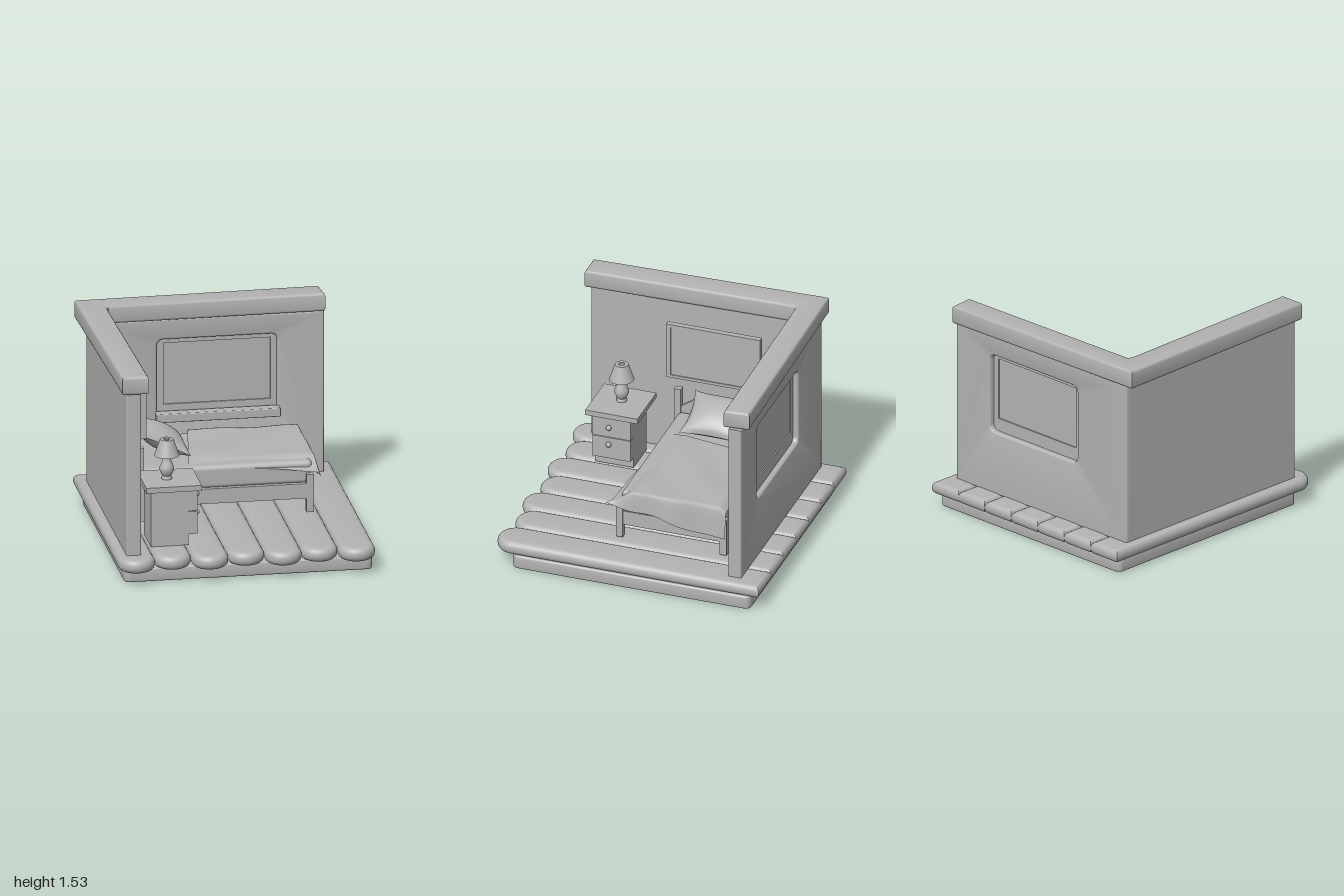
import * as THREE from 'three';
import { toCreasedNormals } from 'three/addons/utils/BufferGeometryUtils.js';
import { RoundedBoxGeometry } from 'three/addons/geometries/RoundedBoxGeometry.js';

export function createModel() {
  const model = new THREE.Group();
  model.name = 'bedroomCorner';
  const clay = new THREE.MeshStandardMaterial({ color: 0xb3b3b3, side: THREE.DoubleSide });
  clay.name = 'clayGrey';

  const group = (name) => {
    const g = new THREE.Group();
    g.name = name;
    model.add(g);
    return g;
  };
  const add = (parent, name, geometry) => {
    const mesh = new THREE.Mesh(geometry, clay);
    mesh.name = name;
    parent.add(mesh);
    return mesh;
  };
  // Box from its limits, with optional rounded edges
  const box = (parent, name, x0, x1, y0, y1, z0, z1, r = 0) => {
    const s = [x1 - x0, y1 - y0, z1 - z0];
    const geo = r ? new RoundedBoxGeometry(...s, 3, r) : new THREE.BoxGeometry(...s);
    const mesh = add(parent, name, geo);
    mesh.position.set((x0 + x1) / 2, (y0 + y1) / 2, (z0 + z1) / 2);
    return mesh;
  };
  // Bevelled extrusion that keeps the outline and the full depth
  const extrude = (shape, depth, bevel, segments = 3) => toCreasedNormals(
    new THREE.ExtrudeGeometry(shape, {
      depth: depth - 2 * bevel, bevelThickness: bevel, bevelSize: bevel,
      bevelOffset: -bevel, bevelSegments: segments, curveSegments: 16,
    }).translate(0, 0, bevel), 0.7);
  // Plan outline (x, z) extruded from y0 to y1
  const slab = (parent, name, shape, y0, y1, bevel, segments) => {
    const geo = extrude(shape, y1 - y0, bevel, segments).rotateX(Math.PI / 2).translate(0, y1, 0);
    return add(parent, name, geo);
  };
  const roundRect = (path, x0, x1, y0, y1, r) => {
    path.moveTo(x0 + r, y0).lineTo(x1 - r, y0).absarc(x1 - r, y0 + r, r, -Math.PI / 2, 0)
      .lineTo(x1, y1 - r).absarc(x1 - r, y1 - r, r, 0, Math.PI / 2)
      .lineTo(x0 + r, y1).absarc(x0 + r, y1 - r, r, Math.PI / 2, Math.PI)
      .lineTo(x0, y0 + r).absarc(x0 + r, y0 + r, r, Math.PI, Math.PI * 1.5);
    return path;
  };
  const polygon = (points) => new THREE.Shape(points.map((p) => new THREE.Vector2(...p)));
  // Smooth cloth surface: rule(u, v) gives a point, u along x and v along z
  const sheet = (nu, nv, rule) => {
    const geo = new THREE.PlaneGeometry(1, 1, nu, nv);
    const { position, uv } = geo.attributes;
    for (let i = 0; i < position.count; i++) {
      position.setXYZ(i, ...rule(uv.getX(i), 1 - uv.getY(i)));
    }
    geo.computeVertexNormals();
    return geo;
  };
  const { lerp, smoothstep } = THREE.MathUtils;

  // Floor: base slab and seven rounded planks with alternating lengths
  const floor = group('floor');
  slab(floor, 'baseSlab', roundRect(new THREE.Shape(), -0.865, 0.91, -0.93, 0.85, 0.045), 0, 0.1, 0.012);
  const w = 0.262;
  for (let i = 0; i < 7; i++) {
    const x = -0.915 + w * i;
    const end = i % 2 ? 0.95 : 0.99;
    const plank = new THREE.Shape();
    plank.moveTo(x, -1).lineTo(x + w, -1).lineTo(x + w, end - 0.13)
      .absellipse(x + w / 2, end - 0.13, w / 2, 0.13, 0, Math.PI).lineTo(x, -1);
    slab(floor, 'plank', plank, 0.1, 0.2, 0.044, 5);
  }

  // Walls, with the window opening in the back one
  const walls = group('walls');
  box(walls, 'leftWall', -0.85, -0.745, 0.19, 1.41, -0.8, 0.85, 0.012);
  const backShape = polygon([[-0.85, 0.19], [0.835, 0.19], [0.835, 1.395], [-0.85, 1.395]]);
  backShape.holes.push(roundRect(new THREE.Path(), -0.36, 0.5, 0.66, 1.245, 0.045));
  add(walls, 'backWall', extrude(backShape, 0.1, 0.014)).position.z = -0.84;
  const trim = polygon([[-0.93, -0.865], [0.82, -0.895], [0.837, -0.71], [-0.715, -0.69],
    [-0.73, -0.67], [-0.697, 0.88], [-0.885, 0.88]]);
  slab(walls, 'topTrim', trim, 1.4, 1.535, 0.02);

  // Window
  const windowGroup = group('window');
  const frame = polygon([[-0.36, 0.66], [0.5, 0.66], [0.5, 1.245], [-0.36, 1.245]]);
  frame.holes.push(polygon([[-0.31, 0.755], [0.455, 0.755], [0.455, 1.21], [-0.31, 1.21]]));
  add(windowGroup, 'windowFrame', new THREE.ExtrudeGeometry(frame, { depth: 0.03, bevelEnabled: false }))
    .position.z = -0.8;
  box(windowGroup, 'windowPane', -0.32, 0.465, 0.745, 1.22, -0.79, -0.78);
  box(windowGroup, 'windowSill', -0.37, 0.515, 0.645, 0.71, -0.76, -0.68, 0.008);

  // Picture: frame border around a recessed panel
  const picture = group('picture');
  box(picture, 'picturePanel', -0.64, -0.61, 0.86, 1.265, -0.455, 0.225);
  for (const [y0, y1] of [[0.85, 0.872], [1.255, 1.278]]) {
    box(picture, 'pictureFrame', -0.645, -0.603, y0, y1, -0.465, 0.237);
  }
  for (const [z0, z1] of [[-0.465, -0.435], [0.203, 0.237]]) {
    box(picture, 'pictureFrame', -0.645, -0.603, 0.872, 1.255, z0, z1);
  }

  // Bed frame and mattress
  const bed = group('bed');
  for (const [z0, z1] of [[-0.645, -0.595], [0.13, 0.18]]) {
    box(bed, 'headPost', -0.655, -0.61, 0.22, 0.76, z0, z1);
    box(bed, 'footLeg', 0.55, 0.602, 0.22, 0.5, z0, z1);
    box(bed, 'sideRail', -0.62, 0.56, 0.32, 0.43, z0 + 0.005, z1 - 0.01);
  }
  box(bed, 'footRail', 0.555, 0.595, 0.32, 0.43, -0.6, 0.135);
  box(bed, 'bedBase', -0.62, 0.56, 0.33, 0.42, -0.61, 0.14);
  const board = polygon([[-0.6, 0.33], [0.135, 0.33], [0.135, 0.62], [0.02, 0.7], [-0.465, 0.7], [-0.6, 0.62]]);
  const headboard = add(bed, 'headboard', new THREE.ExtrudeGeometry(board, { depth: 0.025, bevelEnabled: false }));
  headboard.rotation.y = -Math.PI / 2;
  headboard.position.x = -0.62;
  box(bed, 'mattress', -0.615, 0.6, 0.42, 0.59, -0.62, 0.145, 0.035);

  // Blanket: lies on the mattress, hangs over the foot and the open side
  add(bed, 'blanket', sheet(48, 40, (u, v) => {
    const along = Math.min(u / 0.8, 1);
    const hang = Math.max(u - 0.8, 0) / 0.2;
    const side = smoothstep(v, 0.8, 1);
    const back = 1 - smoothstep(v, 0, 0.06);
    const frontZ = lerp(0.1, 0.2, along) + 0.04 * hang;
    const fold = 0.008 * Math.sin(7 * along + 9 * v) * Math.sin(Math.PI * along);
    const hem = lerp(0.375, 0.49, smoothstep(v, 0, 1)) + 0.012 * Math.sin(14 * v);
    const top = 0.612 + fold - side * lerp(0.02, 0.09, along) - 0.03 * back;
    const drop = hang * hang * (2 - hang);
    return [
      lerp(lerp(-0.16, -0.28, v), 0.61, along) + 0.035 * Math.sqrt(hang) + 0.008 * hang * Math.sin(16 * v),
      lerp(top, Math.min(hem, top), drop),
      lerp(-0.65, frontZ, v),
    ];
  }));

  // Pillow: two puffed faces with pinched corners, leaning on the headboard
  const pillow = group('pillow');
  for (const side of [1, -1]) {
    add(pillow, 'pillowFace', sheet(24, 24, (u, v) => {
      const a = (2 * u - 1) * side;
      const b = 2 * v - 1;
      const puff = Math.pow((1 - a * a) * (1 - b * b), 0.55);
      return [
        0.19 * a * (1 - 0.1 * (1 - b * b)),
        side * 0.085 * puff,
        0.23 * b * (1 - 0.12 * (1 - a * a)),
      ];
    }));
  }
  pillow.position.set(-0.42, 0.71, -0.215);
  pillow.rotation.z = -0.44;

  // Nightstand with two drawers
  const nightstand = group('nightstand');
  box(nightstand, 'nightstandTop', -0.69, -0.293, 0.612, 0.652, 0.34, 0.73);
  box(nightstand, 'nightstandBody', -0.65, -0.38, 0.2, 0.615, 0.4, 0.685);
  for (const [y0, y1, knobY] of [[0.28, 0.447, 0.4], [0.452, 0.612, 0.535]]) {
    box(nightstand, 'drawer', -0.385, -0.317, y0, y1, 0.4, 0.685);
    add(nightstand, 'knob', new THREE.SphereGeometry(0.02, 16, 12)).position.set(-0.3, knobY, 0.558);
  }

  // Lamp
  const lamp = group('lamp');
  const lathe = (name, points) => add(lamp, name, toCreasedNormals(
    new THREE.LatheGeometry(points.map((p) => new THREE.Vector2(...p)), 28), 0.7));
  lathe('lampBase', [[0, 0], [0.037, 0], [0.037, 0.015], [0.03, 0.025], [0.042, 0.045], [0.052, 0.07],
    [0.05, 0.09], [0.038, 0.12], [0.028, 0.145], [0.026, 0.165], [0.028, 0.18], [0, 0.18]]);
  lathe('lampShade', [[0, 0.175], [0.089, 0.175], [0.048, 0.295], [0.022, 0.295], [0.022, 0.285], [0, 0.285]]);
  lamp.position.set(-0.51, 0.65, 0.535);

  return model;
}
